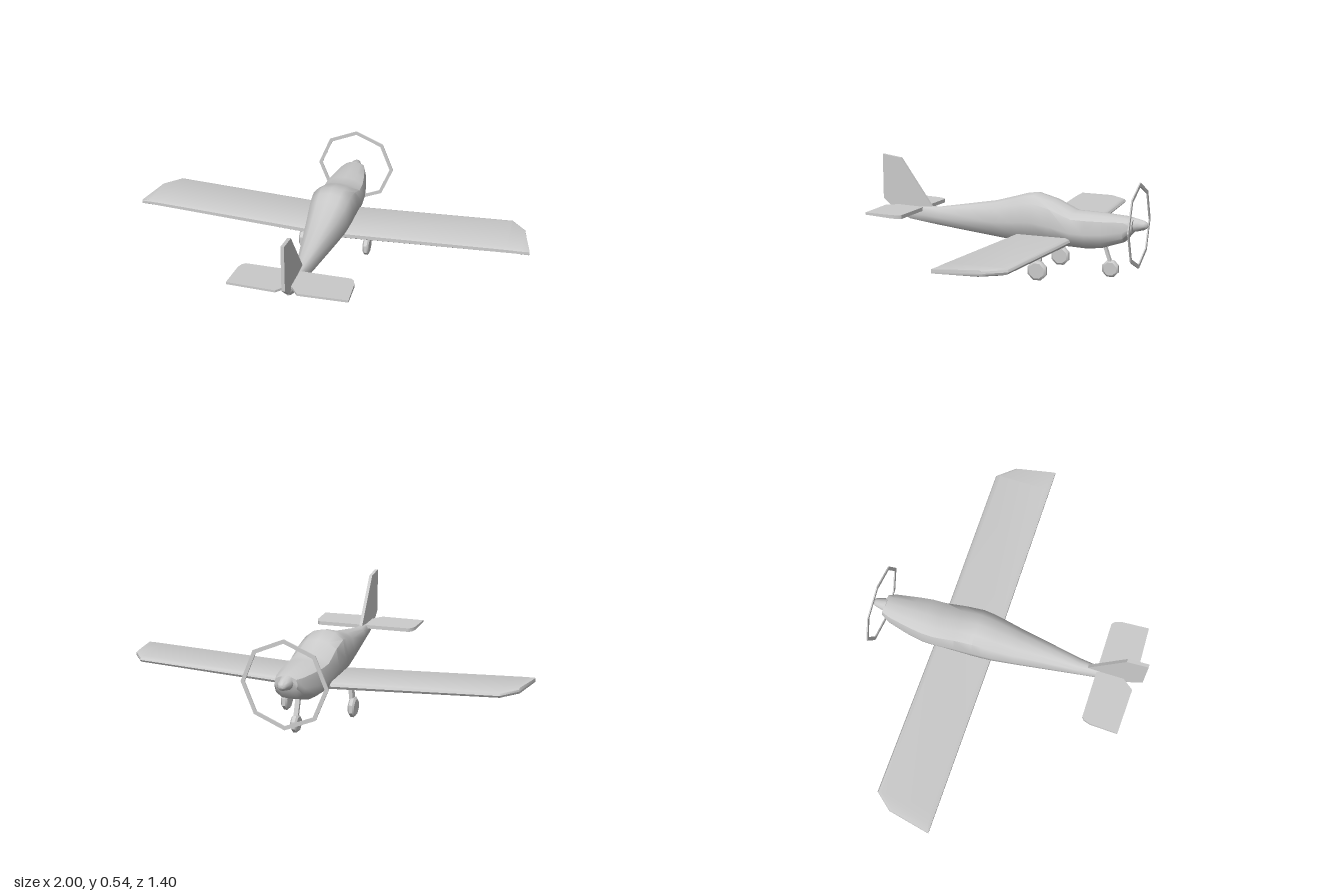
import * as THREE from 'three';
import { toCreasedNormals } from 'three/addons/utils/BufferGeometryUtils.js';

const material = new THREE.MeshStandardMaterial({ color: 0xcccccc, side: THREE.DoubleSide });

function part(name, geometry, crease = 0.6) {
  const mesh = new THREE.Mesh(toCreasedNormals(geometry, crease), material);
  mesh.name = name;
  return mesh;
}

// Skin closed cross-sections (arrays of [x, y, z]) and cap both ends.
function loft(rings) {
  const n = rings[0].length;
  const index = [];
  for (let r = 0; r < rings.length - 1; r++) {
    for (let i = 0; i < n; i++) {
      const a = r * n + i, b = r * n + (i + 1) % n;
      index.push(a, b, a + n, b, b + n, a + n);
    }
  }
  const last = (rings.length - 1) * n;
  for (let i = 1; i < n - 1; i++) {
    index.push(0, i + 1, i, last, last + i, last + i + 1);
  }
  const p = rings.flat().map((v) => new THREE.Vector3(...v));
  let volume = 0;
  for (let i = 0; i < index.length; i += 3) {
    volume += p[index[i]].dot(p[index[i + 1]].clone().cross(p[index[i + 2]]));
  }
  if (volume < 0) index.reverse();
  const geometry = new THREE.BufferGeometry();
  geometry.setAttribute('position', new THREE.Float32BufferAttribute(rings.flat(2), 3));
  geometry.setIndex(index);
  return geometry;
}

// Fuselage stations: z, top, bottom, half width
function fuselage() {
  const half = [[0, 1], [0.5, 0.96], [0.87, 0.83], [1, 0.45], [0.9, 0.2], [0.5, 0.02], [0, 0]];
  const section = [...half, ...half.slice(1, -1).reverse().map(([x, y]) => [-x, y])];
  const stations = [
    [-0.63, 0.3, 0.235, 0.055], [-0.59, 0.308, 0.187, 0.073], [-0.485, 0.315, 0.152, 0.096],
    [-0.41, 0.318, 0.145, 0.108], [-0.34, 0.32, 0.148, 0.11], [-0.235, 0.37, 0.151, 0.11],
    [-0.14, 0.397, 0.154, 0.11], [-0.09, 0.389, 0.156, 0.107], [-0.04, 0.374, 0.157, 0.102],
    [0.07, 0.343, 0.167, 0.085], [0.38, 0.29, 0.197, 0.037], [0.47, 0.288, 0.207, 0.025],
    [0.55, 0.28, 0.217, 0.014], [0.63, 0.272, 0.25, 0.008],
  ];
  return loft(stations.map(([z, top, bottom, w]) =>
    section.map(([x, y]) => [x * w, bottom + y * (top - bottom), z])));
}

// One-piece wing with dihedral, rounded leading edge and clipped tips
function wing() {
  const section = [[0, 0.5], [0.02, 0.8], [0.08, 1], [0.93, 1], [1, 0.75], [1, 0.25], [0.95, 0], [0.1, 0], [0.025, 0.18]];
  // x, leading z, bottom, top
  const half = [[0.89, -0.345, 0.203, 0.234], [0.96, -0.26, 0.207, 0.235], [1, -0.06, 0.213, 0.231]];
  const stations = [
    ...half.map(([x, ...rest]) => [-x, ...rest]).reverse(),
    [0, -0.345, 0.157, 0.197],
    ...half,
  ];
  return loft(stations.map(([x, front, bottom, top]) =>
    section.map(([t, h]) => [x, bottom + h * (top - bottom), front + t * (-0.05 - front)])));
}

// Tailplane with rudder notch, thinning towards its trailing edge
function tailplane() {
  const half = [[0.25, 0.472], [0.265, 0.485], [0.275, 0.515], [0.282, 0.655], [0.05, 0.663], [0.01, 0.61]];
  const outline = [...half, ...half.map(([x, z]) => [-x, z]).reverse()];
  const shape = new THREE.Shape(outline.map(([x, z]) => new THREE.Vector2(x, z)));
  const geometry = new THREE.ExtrudeGeometry(shape, { depth: 1, bevelEnabled: false });
  geometry.rotateX(Math.PI / 2);
  const pos = geometry.attributes.position;
  for (let i = 0; i < pos.count; i++) {
    const t = (pos.getZ(i) - 0.472) / 0.19;
    pos.setY(i, pos.getY(i) > -0.5 ? 0.283 + 0.007 * t : 0.264 + 0.015 * t);
  }
  return geometry;
}

// Upright fin and rudder
function fin() {
  const outline = [[0.42, 0.28], [0.433, 0.298], [0.597, 0.529], [0.7, 0.544], [0.7, 0.317], [0.62, 0.247], [0.55, 0.218]];
  const shape = new THREE.Shape(outline.map(([z, y]) => new THREE.Vector2(z, y)));
  const geometry = new THREE.ExtrudeGeometry(shape, { depth: 0.016, bevelEnabled: false });
  return geometry.rotateY(-Math.PI / 2).translate(0.008, 0, 0);
}

// Eight-sided wheel with chamfered rim, axle along x
function wheel(r) {
  const profile = [[0, -0.016], [r * 0.78, -0.016], [r, -0.008], [r, 0.008], [r * 0.78, 0.016], [0, 0.016]];
  return new THREE.LatheGeometry(profile.map(([x, y]) => new THREE.Vector2(x, y)), 8)
    .rotateX(0).rotateY(Math.PI / 8).rotateZ(Math.PI / 2);
}

// Box strut between two points
function strut(name, from, to, width, depth) {
  const a = new THREE.Vector3(...from), b = new THREE.Vector3(...to);
  const mesh = part(name, new THREE.BoxGeometry(width, a.distanceTo(b), depth));
  mesh.position.copy(a).lerp(b, 0.5);
  mesh.quaternion.setFromUnitVectors(new THREE.Vector3(0, 1, 0), b.sub(a).normalize());
  return mesh;
}

export function createModel() {
  const model = new THREE.Group();
  model.name = 'lightAircraft';
  model.add(part('fuselage', fuselage(), 0.8), part('wing', wing()), part('tailplane', tailplane()), part('fin', fin()));

  // Spinner
  const cone = [[0, -0.01], [0.035, 0], [0.03, 0.025], [0.022, 0.055], [0.012, 0.07], [0, 0.073]];
  const spinner = part('spinner', new THREE.LatheGeometry(cone.map(([x, y]) => new THREE.Vector2(x, y)), 12), 0.8);
  spinner.rotation.x = -Math.PI / 2;
  spinner.position.set(0, 0.27, -0.624);
  model.add(spinner);

  // Octagonal propeller ring
  const ring = new THREE.Shape();
  const hole = new THREE.Path();
  for (const [path, r] of [[ring, 0.207], [hole, 0.188]]) {
    path.setFromPoints(Array.from({ length: 8 }, (_, i) =>
      new THREE.Vector2(r * Math.cos(i * Math.PI / 4), r * Math.sin(i * Math.PI / 4))));
  }
  ring.holes.push(hole);
  const propeller = part('propellerRing', new THREE.ExtrudeGeometry(ring, { depth: 0.006, bevelEnabled: false }));
  propeller.position.set(0, 0.266, -0.656);
  model.add(propeller);

  // Main landing gear
  for (const [side, name] of [[1, 'left'], [-1, 'right']]) {
    const main = part(name + 'MainWheel', wheel(0.05));
    main.position.set(side * 0.17, 0.049, -0.205);
    model.add(main, strut(name + 'MainStrut', [side * 0.168, 0.06, -0.205], [side * 0.155, 0.18, -0.205], 0.018, 0.036));
  }

  // Nose gear
  const nose = part('noseWheel', wheel(0.043));
  nose.position.set(0, 0.048, -0.517);
  model.add(nose, strut('noseStrut', [0, 0.06, -0.522], [0, 0.17, -0.483], 0.022, 0.014));
  return model;
}
